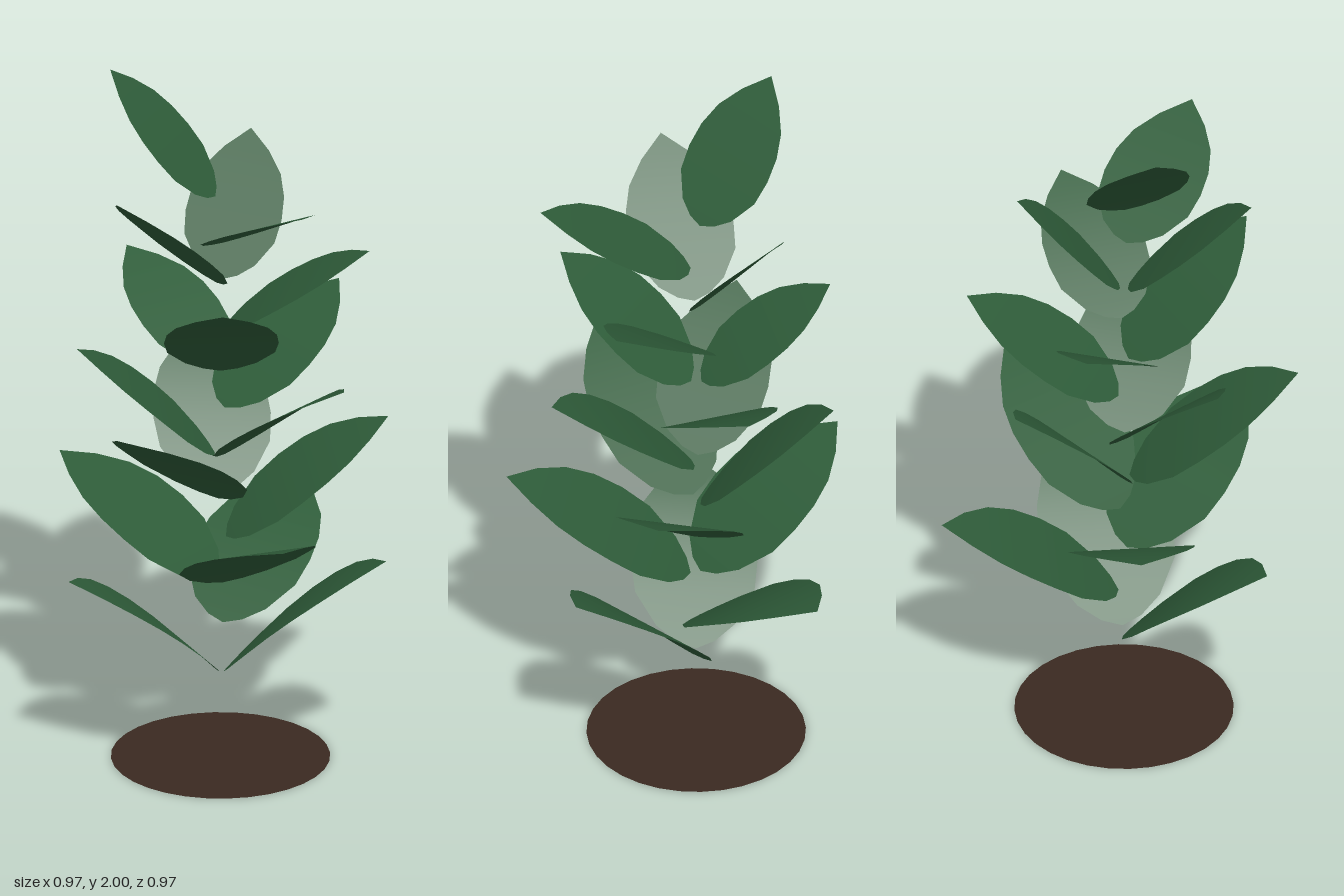
import * as THREE from 'three';

// One row per leaf, bottom to top: tip x, y, z and base height
const LEAVES = [
  [0.485, 0.645, 0.02, 0.26], [-0.325, 0.60, 0.335, 0.26], [0.06, 0.65, -0.485, 0.39],
  [0.325, 0.81, 0.425, 0.52], [-0.485, 0.81, -0.06, 0.52], [0.41, 0.97, -0.22, 0.65],
  [-0.10, 1.10, 0.48, 0.77], [-0.17, 1.13, -0.335, 0.77], [0.415, 1.20, 0.175, 0.90],
  [-0.35, 1.23, 0.19, 0.90], [0.215, 1.29, -0.375, 1.03], [0.14, 1.475, 0.395, 1.15],
  [-0.33, 1.395, -0.175, 1.15], [0.41, 1.525, -0.06, 1.28], [-0.19, 1.735, 0.325, 1.41],
  [0.06 - 0.07, 1.74, -0.29, 1.41], [0.335, 1.75, 0.29, 1.53], [-0.31, 2.0, 0.025, 1.66],
];

// Half-width along the leaf: blunt base, pointed tip
const OUTLINE = [[0, 0], [0.03, 0.3], [0.1, 0.62], [0.25, 0.94], [0.4, 1], [0.55, 0.96],
  [0.7, 0.8], [0.85, 0.47], [1, 0]];
const CENTRE = new THREE.Vector3(0.005, 0, 0.015);

// Thin blade swept from base to tip along a gentle arch
function leafGeometry(base, tip, arch) {
  const halfWidth = base.distanceTo(tip) * 0.31;
  const side = new THREE.Vector3(tip.z - base.z, 0, base.x - tip.x).normalize();
  const positions = [], index = [];
  OUTLINE.forEach(([t, w], row) => {
    const mid = base.clone().lerp(tip, t);
    mid.y += arch * 4 * t * (1 - t);
    for (const s of [-1, 0, 1]) {
      positions.push(...mid.clone().addScaledVector(side, s * w * halfWidth).toArray());
    }
    if (row === 0) return;
    for (let k = 0; k < 2; k++) {
      const a = (row - 1) * 3 + k, b = a + 3;
      index.push(a, b, b + 1, a, b + 1, a + 1);
    }
  });
  // Upper face is the front face
  for (let i = 0; i < index.length; i += 3) {
    [index[i + 1], index[i + 2]] = [index[i + 2], index[i + 1]];
  }
  const geometry = new THREE.BufferGeometry();
  geometry.setAttribute('position', new THREE.Float32BufferAttribute(positions, 3));
  geometry.setIndex(index);
  geometry.computeVertexNormals();
  const n = geometry.attributes.normal;
  if (n.getY(13) < 0) {
    for (let i = 0; i < index.length; i += 3) {
      [index[i + 1], index[i + 2]] = [index[i + 2], index[i + 1]];
    }
    geometry.setIndex(index);
    geometry.computeVertexNormals();
  }
  return geometry;
}

export function createModel() {
  const green = new THREE.MeshStandardMaterial({ color: 0x2f5d3a, side: THREE.DoubleSide });
  green.name = 'leafGreen';
  const brown = new THREE.MeshStandardMaterial({ color: 0x3b2a21, side: THREE.DoubleSide });
  brown.name = 'soilBrown';

  const model = new THREE.Group();
  model.name = 'plant';

  // Flat round soil surface
  const soil = new THREE.Mesh(new THREE.CircleGeometry(0.3, 32).rotateX(-Math.PI / 2), brown);
  soil.name = 'soil';
  soil.position.copy(CENTRE);
  model.add(soil);

  // Leaves spiralling up around the centre
  const foliage = new THREE.Group();
  foliage.name = 'foliage';
  LEAVES.forEach(([x, y, z, baseY], i) => {
    const tip = new THREE.Vector3(x, y, z);
    const base = new THREE.Vector3(x, 0, z).sub(CENTRE).setLength(0.015).add(CENTRE);
    base.y = baseY;
    const arch = THREE.MathUtils.lerp(0.04, 0.008, i / (LEAVES.length - 1));
    const leaf = new THREE.Mesh(leafGeometry(base, tip, arch), green);
    leaf.name = `leaf${i + 1}`;
    foliage.add(leaf);
  });
  model.add(foliage);
  return model;
}
